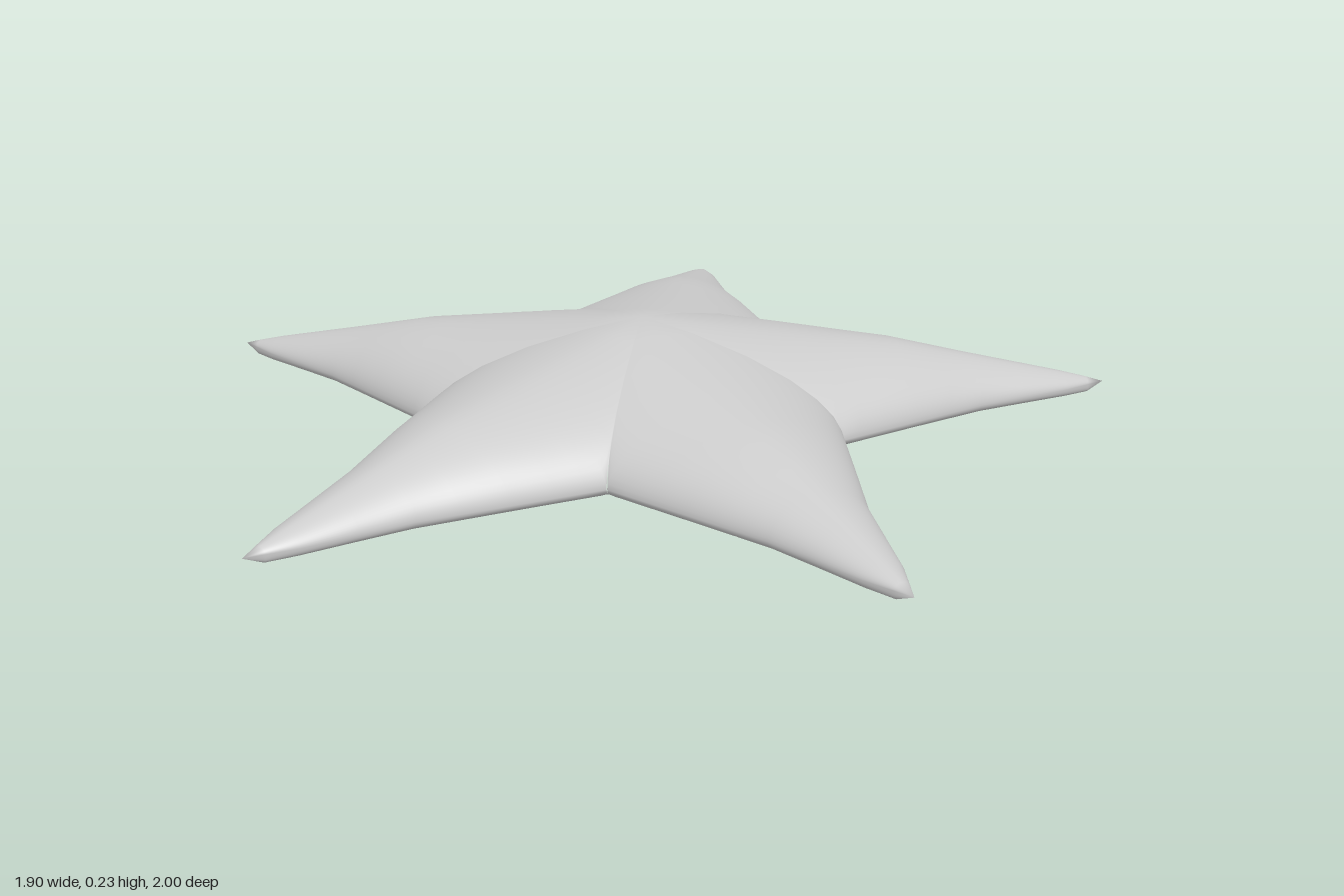
import * as THREE from 'three';
import { mergeVertices } from 'three/addons/utils/BufferGeometryUtils.js';

const CENTRE_X = -0.1;
const VALLEY = 0.38; // distance along an arm where neighbouring arms meet
const TIP = 1.05;

// Piecewise linear profiles, given as [distance from centre, value]
const RIDGE = [[0, 0.235], [0.56, 0.146], [0.95, 0.048], [TIP, 0.02]];
const HALF_WIDTH = [[0, 0.449], [VALLEY, 0.275], [0.73, 0.115], [0.95, 0.045], [TIP, 0]];
const RIM = [[0, 0.03], [VALLEY, 0.03], [TIP, 0.018]];
const ROWS = [0, 0.1, 0.2, 0.28, 0.33, 0.36, VALLEY, 0.42, 0.48, 0.56, 0.65, 0.73, 0.84, 0.95, 1.01, TIP];
const COLUMNS = 14;

function sample(profile, u) {
  for (let i = 1; i < profile.length; i++) {
    const [u0, a] = profile[i - 1];
    const [u1, b] = profile[i];
    if (u <= u1) return a + (b - a) * (u - u0) / (u1 - u0);
  }
  return profile[profile.length - 1][1];
}

// One point of half an arm: domed upper skin or nearly flat underside
function armPoint(u, j, angle, side, top) {
  const width = sample(HALF_WIDTH, u);
  const reach = Math.min(width, u * Math.tan(Math.PI / 5));
  const w = j === COLUMNS ? reach : reach * Math.sin(j / COLUMNS * Math.PI / 2);
  const v = width > 0 ? Math.min(1, w / width) : 1;
  const rim = sample(RIM, u);
  const y = top
    ? rim + (sample(RIDGE, u) - rim) * Math.pow(1 - Math.pow(v, 1.7), 0.55)
    : rim * (1 - Math.sqrt(1 - Math.pow(v, 7)));
  const c = Math.cos(angle), s = Math.sin(angle);
  return [CENTRE_X + u * c - side * w * s, y, u * s + side * w * c];
}

function starGeometry() {
  const positions = [];
  const triangle = (a, b, c, flip) => positions.push(...a, ...(flip ? c : b), ...(flip ? b : c));
  for (let arm = 0; arm < 5; arm++) {
    const angle = arm * Math.PI * 2 / 5;
    for (const side of [1, -1]) for (const top of [true, false]) {
      const flip = (side === 1) !== top;
      for (let i = 0; i < ROWS.length - 1; i++) for (let j = 0; j < COLUMNS; j++) {
        const p = (di, dj) => armPoint(ROWS[i + di], j + dj, angle, side, top);
        if (i > 0) triangle(p(0, 0), p(0, 1), p(1, 0), flip);
        if (i < ROWS.length - 2) triangle(p(0, 1), p(1, 1), p(1, 0), flip);
      }
    }
  }
  const geometry = new THREE.BufferGeometry();
  geometry.setAttribute('position', new THREE.Float32BufferAttribute(positions, 3));
  const merged = mergeVertices(geometry, 1e-5);
  merged.computeVertexNormals();
  return merged;
}

export function createModel() {
  const group = new THREE.Group();
  group.name = 'starfish';
  const material = new THREE.MeshStandardMaterial({ color: 0xcccccc });
  material.name = 'light grey';
  const body = new THREE.Mesh(starGeometry(), material);
  body.name = 'starBody';
  group.add(body);
  return group;
}
